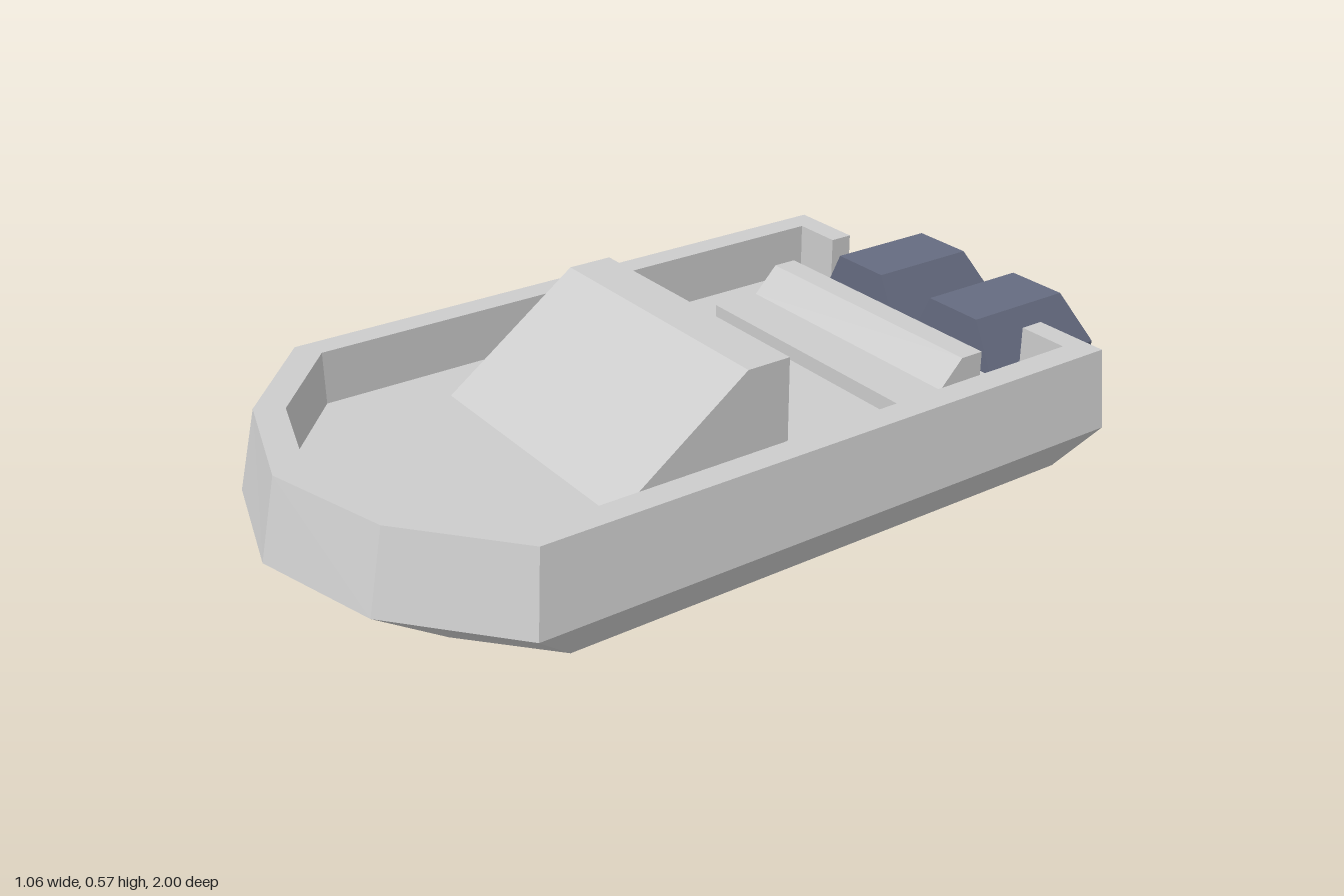
import * as THREE from 'three';

const grey = new THREE.MeshStandardMaterial({ color: 0xcccccc, flatShading: true });
const blue = new THREE.MeshStandardMaterial({ color: 0x656b80, flatShading: true });

function part(name, geometry, material = grey) {
  const mesh = new THREE.Mesh(geometry, material);
  mesh.name = name;
  return mesh;
}

// Box whose bottom and top differ: each end is [y, half width, back z, front z].
function taperedBox(bottom, top) {
  const g = new THREE.BoxGeometry(1, 1, 1);
  const p = g.attributes.position;
  for (let i = 0; i < p.count; i++) {
    const [y, w, back, front] = p.getY(i) > 0 ? top : bottom;
    p.setXYZ(i, Math.sign(p.getX(i)) * w, y, p.getZ(i) > 0 ? front : back);
  }
  g.computeVertexNormals();
  return g;
}

// Half outline [x, z] from stern to bow, mirrored to the other side.
const mirrored = (half) => [
  ...half,
  ...half.filter(([x]) => x > 0).reverse().map(([x, z]) => [-x, z]),
];
const shapeOf = (points, sign = 1) =>
  new THREE.Shape(points.map(([x, z]) => new THREE.Vector2(x, sign * z)));

const STERN = -0.7, FLOOR = 0.345, RIM = 0.465;

// Hull levels from the flat bottom up to the rim.
const levels = [
  { y: 0.08, half: [[0.24, STERN], [0.24, 0.4], [0.13, 0.465], [0, 0.5]] },
  { y: 0.14, half: [[0.4, STERN], [0.4, 0.575], [0.22, 0.735], [0, 0.8]] },
  { y: 0.29, half: [[0.53, STERN], [0.53, 0.715], [0.29, 0.92], [0, 1]] },
  { y: RIM, half: [[0.505, STERN], [0.505, 0.69], [0.28, 0.88], [0, 0.96]] },
].map(({ y, half }) => ({ y, ring: mirrored(half) }));

// Inside of the gunwale, with the stern cut-out.
const inner = mirrored([
  [0.325, STERN], [0.325, -0.645], [0.445, -0.645],
  [0.445, 0.655], [0.245, 0.825], [0, 0.895],
]);

function hullSkin() {
  const pos = [];
  for (let j = 0; j < levels.length - 1; j++) {
    const lo = levels[j], hi = levels[j + 1];
    for (let i = 0; i < lo.ring.length - 1; i++) {
      const at = (l, k) => [l.ring[k][0], l.y, l.ring[k][1]];
      const a = at(lo, i), b = at(hi, i), c = at(hi, i + 1), d = at(lo, i + 1);
      pos.push(...a, ...b, ...c, ...a, ...c, ...d);
    }
  }
  const g = new THREE.BufferGeometry();
  g.setAttribute('position', new THREE.Float32BufferAttribute(pos, 3));
  g.computeVertexNormals();
  return g;
}

function createHull() {
  const hull = new THREE.Group();
  hull.name = 'hull';
  hull.add(part('hullSides', hullSkin()));

  const bottom = new THREE.ShapeGeometry(shapeOf(levels[0].ring)).rotateX(Math.PI / 2);
  hull.add(part('hullBottom', bottom.translate(0, levels[0].y, 0)));

  // Transom with the motor cut-out
  const right = [...levels.map(({ y, ring }) => [ring[0][0], y]), [0.325, RIM], [0.325, FLOOR]];
  const transom = new THREE.ShapeGeometry(shapeOf(mirrored(right))).rotateY(Math.PI);
  hull.add(part('transom', transom.translate(0, 0, STERN)));

  // Raised gunwale: rim outline out, inside outline back
  const wall = [...levels[3].ring, ...[...inner].reverse()];
  const gunwale = new THREE.ExtrudeGeometry(shapeOf(wall, -1), {
    depth: RIM - FLOOR, bevelEnabled: false,
  }).rotateX(-Math.PI / 2);
  hull.add(part('gunwale', gunwale.translate(0, FLOOR, 0)));

  const deck = new THREE.ShapeGeometry(shapeOf(inner, -1)).rotateX(-Math.PI / 2);
  hull.add(part('deck', deck.translate(0, FLOOR, 0)));
  return hull;
}

function createMotor(x) {
  const motor = new THREE.Group();
  motor.name = 'outboardMotor';
  motor.position.x = x;
  motor.add(part('motorCowl', taperedBox(
    [0.35, 0.132, -0.915, -0.593], [RIM, 0.075, -0.855, -0.593]), blue));
  motor.add(part('motorLeg', taperedBox(
    [0.055, 0.077, -0.915, -0.76], [0.35, 0.132, -0.915, -0.7]), blue));

  const propeller = new THREE.Group();
  propeller.name = 'propeller';
  propeller.position.y = 0.135;
  // Shaft and flared nose as one turned profile, pointing backwards
  const profile = [[0.04, 0.9], [0.04, 0.962], [0.05, 0.973], [0.036, 1], [0, 1]]
    .map(([r, h]) => new THREE.Vector2(r, h));
  propeller.add(part('propellerHub',
    new THREE.LatheGeometry(profile, 8).rotateX(-Math.PI / 2), blue));
  for (let i = 0; i < 4; i++) {
    const blade = part('propellerBlade', taperedBox(
      [0.03, 0.014, -0.958, -0.93], [0.133, 0.033, -0.958, -0.93]));
    blade.rotation.z = i * Math.PI / 2;
    propeller.add(blade);
  }
  motor.add(propeller);
  return motor;
}

export function createModel() {
  const boat = new THREE.Group();
  boat.name = 'motorBoat';
  boat.add(createHull());

  // Console with sloping front
  boat.add(part('console', taperedBox(
    [FLOOR, 0.325, 0.005, 0.42], [0.57, 0.325, 0.005, 0.107])));

  // Bench seat with leaning backrest
  boat.add(part('seat', taperedBox(
    [FLOOR, 0.325, -0.525, -0.292], [0.38, 0.325, -0.525, -0.292])));
  boat.add(part('seatBack', taperedBox(
    [0.38, 0.325, -0.525, -0.41], [0.44, 0.325, -0.525, -0.468])));

  for (const side of [-1, 1]) boat.add(createMotor(side * 0.159));
  return boat;
}
